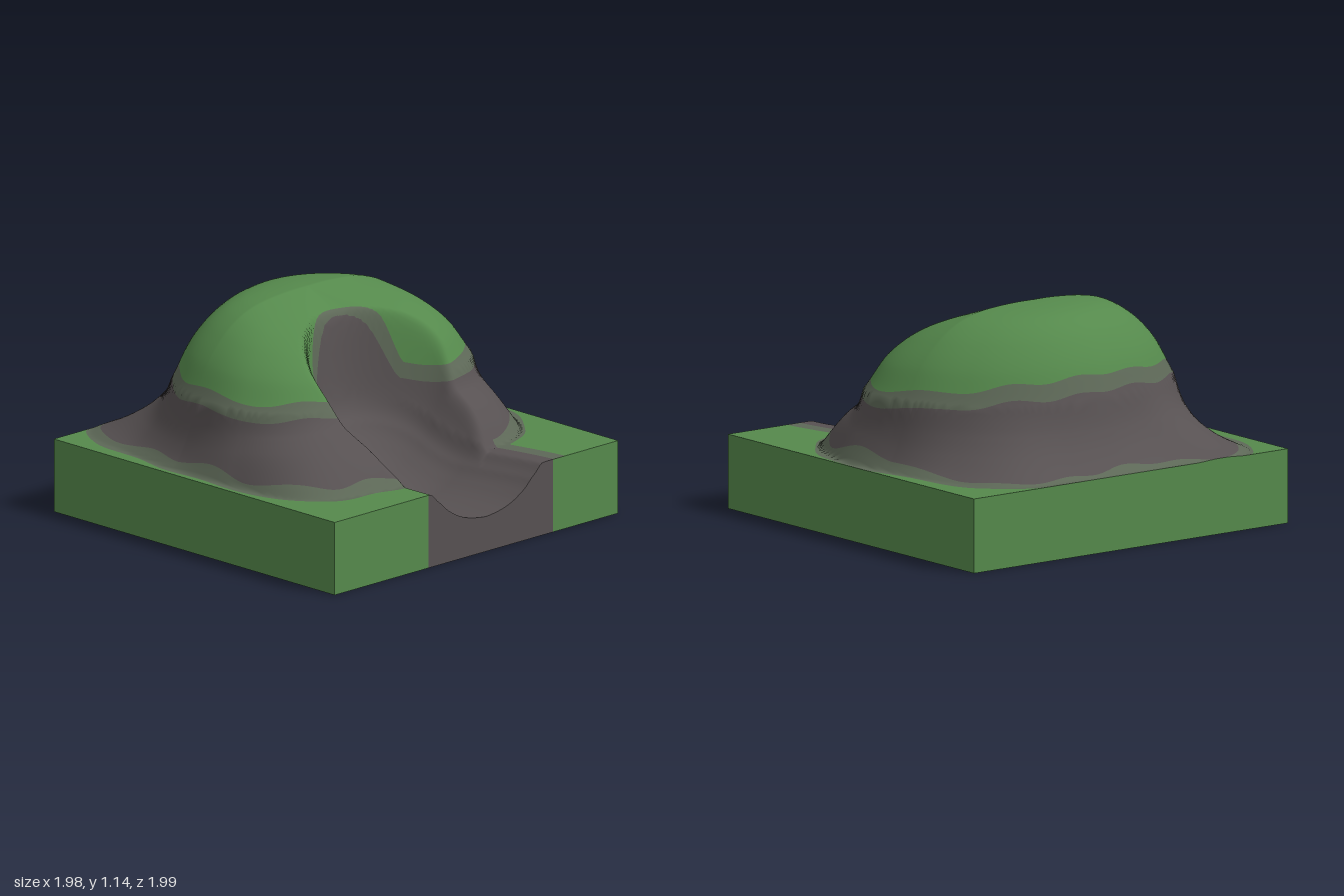
import * as THREE from 'three';

const GREEN = 0, BLEND = 1, ROCK = 2;
const X0 = -0.99, X1 = 0.99, Z0 = -0.99, Z1 = 1, FLOOR = 0.01, N = 130;
const { smoothstep } = THREE.MathUtils;

// Smooth lookup in an evenly spaced list, optionally wrapping round
function sample(list, t, loop = false) {
  const n = list.length;
  if (!loop) t = Math.min(Math.max(t, 0), n - 1);
  const i = Math.floor(t), f = t - i;
  const at = (k) => list[loop ? (k + 2 * n) % n : Math.min(Math.max(k, 0), n - 1)];
  const a = at(i - 1), b = at(i), c = at(i + 1), d = at(i + 2);
  return b + 0.5 * f * (c - a + f * (2 * a - 5 * b + 4 * c - d + f * (3 * (b - c) + d - a)));
}

function smoothMin(a, b, k) {
  const m = Math.max(k - Math.abs(a - b), 0) / k;
  return Math.min(a, b) - m * m * k * 0.25;
}

// Radii of the grassy cap and of the hill foot, every 22.5 degrees from the front
const CAP = [0.6, 0.63, 0.78, 0.87, 0.81, 0.71, 0.63, 0.58, 0.56, 0.57, 0.63, 0.73, 0.79, 0.84, 0.81, 0.65];
const FOOT = [1.0, 0.96, 1.06, 1.02, 0.94, 0.95, 0.98, 0.84, 0.79, 0.84, 1.08, 0.97, 0.94, 1.01, 1.18, 1.08];
// Height from summit to cap edge (8 steps) and on to the foot (8 steps)
const HILL = [1.145, 1.145, 1.14, 1.13, 1.11, 1.07, 1.0, 0.89, 0.72,
  0.62, 0.56, 0.515, 0.48, 0.45, 0.425, 0.405, 0.388];
// Height across the channel, from its middle line out over the bank
const CHANNEL = [0.19, 0.198, 0.215, 0.25, 0.31, 0.43, 0.84, 1.04, 1.16, 1.3, 1.5];

// Height and colour level of the terrain: level < 0 rock, 0..1 blend, > 1 green
function terrain(x, z) {
  const dz = z + 0.2, r = Math.hypot(x, dz);
  const turn = (Math.atan2(x, dz) / (2 * Math.PI) + 1) * 16 % 16;
  const cap = sample(CAP, turn, true), foot = sample(FOOT, turn, true);
  const step = Math.min(r < cap ? r / cap : 1 + (r - cap) / (foot - cap), 2);
  // the front lobes slope more evenly than the back
  const slump = 0.11 * Math.max(dz, 0) / (r + 0.001) * Math.sin(Math.PI * step);
  const hill = sample(HILL, step * 8) - slump;

  // distance from the edge of the U-shaped channel, steep at its head, gentler along the lobes
  const front = smoothstep(z, 0.3, 1);
  const edge = Math.hypot(x + 0.02 - 0.09 * z, Math.min(z - 0.36, 0)) - 0.31 - 0.07 * front;
  const spread = 0.65 + 1.6 * smoothstep(z, 0, 0.35);
  const rise = 0.18 * (1 - smoothstep(z, 0.05, 0.6));
  const channel = sample(CHANNEL, ((edge > 0 ? edge / spread : edge) + 0.4) / 0.08) + rise;
  const y = smoothMin(hill, channel, 0.08);

  const wobble = 0.01 * Math.sin(17 * x + 5 * z) + 0.01 * Math.sin(13 * z - 7 * x + 1);
  const notch = 0.015 + 0.05 * Math.exp(-(((x - 0.05) / 0.22) ** 2));
  const capBase = 0.69 + 0.07 * smoothstep(-z, 0.3, 0.7);
  const capLevel = Math.min((y - capBase + wobble) / 0.08, (edge - notch + wobble * 0.5) / 0.025);
  const bank = x > 0 ? 0.09 : -0.03;
  const groundLevel = Math.min((r - foot + 0.04 + wobble) / 0.065, (edge - bank) / (x > 0 ? 0.08 : 0.03));
  return { y, level: Math.max(capLevel, groundLevel) };
}

// Part of a polygon on one side of a colour level
function clip(poly, limit, above) {
  const out = [], side = above ? 1 : -1;
  poly.forEach((a, i) => {
    const b = poly[(i + 1) % poly.length];
    const da = side * (a.level - limit), db = side * (b.level - limit);
    if (da >= 0) out.push(a);
    if (da * db < 0) {
      const f = da / (da - db);
      out.push({ p: a.p.clone().lerp(b.p, f), n: a.n.clone().lerp(b.n, f).normalize(), level: limit });
    }
  });
  return out;
}

// Collects triangles for one mesh
class Surface {
  constructor() { this.pos = []; this.nor = []; }
  add(poly) {
    for (let i = 1; i + 1 < poly.length; i++) {
      for (const v of [poly[0], poly[i], poly[i + 1]]) {
        this.pos.push(...v.p.toArray());
        this.nor.push(...v.n.toArray());
      }
    }
  }
  mesh(name, material) {
    const g = new THREE.BufferGeometry();
    g.setAttribute('position', new THREE.Float32BufferAttribute(this.pos, 3));
    g.setAttribute('normal', new THREE.Float32BufferAttribute(this.nor, 3));
    const m = new THREE.Mesh(g, material);
    m.name = name;
    return m;
  }
}

export function createModel() {
  const materials = [['grass green', 0x55894c], ['mossy rock', 0x5d6857], ['dark rock', 0x575152]]
    .map(([name, color]) => {
      const m = new THREE.MeshStandardMaterial({ color });
      m.name = name;
      return m;
    });
  const group = new THREE.Group();
  group.name = 'terrainTile';

  // Hill, ground and channel as one height field, split by colour
  const top = [new Surface(), new Surface(), new Surface()];
  const xAt = (i) => X0 + (X1 - X0) * i / N, zAt = (j) => Z0 + (Z1 - Z0) * j / N;
  const grid = [], e = 0.006;
  for (let j = 0; j <= N; j++) {
    for (let i = 0; i <= N; i++) {
      const x = xAt(i), z = zAt(j), { y, level } = terrain(x, z);
      const n = new THREE.Vector3(terrain(x - e, z).y - terrain(x + e, z).y, 2 * e,
        terrain(x, z - e).y - terrain(x, z + e).y).normalize();
      grid.push({ p: new THREE.Vector3(x, y, z), n, level });
    }
  }
  const at = (i, j) => grid[j * (N + 1) + i];
  for (let j = 0; j < N; j++) {
    for (let i = 0; i < N; i++) {
      const a = at(i, j), b = at(i, j + 1), c = at(i + 1, j + 1), d = at(i + 1, j);
      for (const tri of [[a, b, c], [a, c, d]]) {
        top[ROCK].add(clip(tri, 0, false));
        top[BLEND].add(clip(clip(tri, 0, true), 1, false));
        top[GREEN].add(clip(tri, 1, true));
      }
    }
  }
  group.add(top[GREEN].mesh('grass', materials[GREEN]),
    top[BLEND].mesh('rockFringe', materials[BLEND]),
    top[ROCK].mesh('rockSlopes', materials[ROCK]));

  // Side walls of the block, following the terrain edge
  const block = new Surface(), mouth = new Surface();
  const wall = (p, q, normal, surface = block) => {
    const low = (v) => new THREE.Vector3(v.x, FLOOR, v.z);
    surface.add([low(p), low(q), q, p].map((v) => ({ p: v, n: normal })));
  };
  const dir = (x, y, z) => new THREE.Vector3(x, y, z);
  for (let i = 0; i < N; i++) {
    const mid = (xAt(i) + xAt(i + 1)) / 2;
    wall(at(i, N).p, at(i + 1, N).p, dir(0, 0, 1), mid > -0.33 && mid < 0.54 ? mouth : block);
    wall(at(i + 1, 0).p, at(i, 0).p, dir(0, 0, -1));
    wall(at(0, i).p, at(0, i + 1).p, dir(-1, 0, 0));
    wall(at(N, i + 1).p, at(N, i).p, dir(1, 0, 0));
  }
  // Underside
  block.add([[X0, Z0], [X1, Z0], [X1, Z1], [X0, Z1]]
    .map(([x, z]) => ({ p: dir(x, FLOOR, z), n: dir(0, -1, 0) })));
  group.add(block.mesh('baseBlock', materials[GREEN]), mouth.mesh('channelMouth', materials[ROCK]));
  return group;
}
